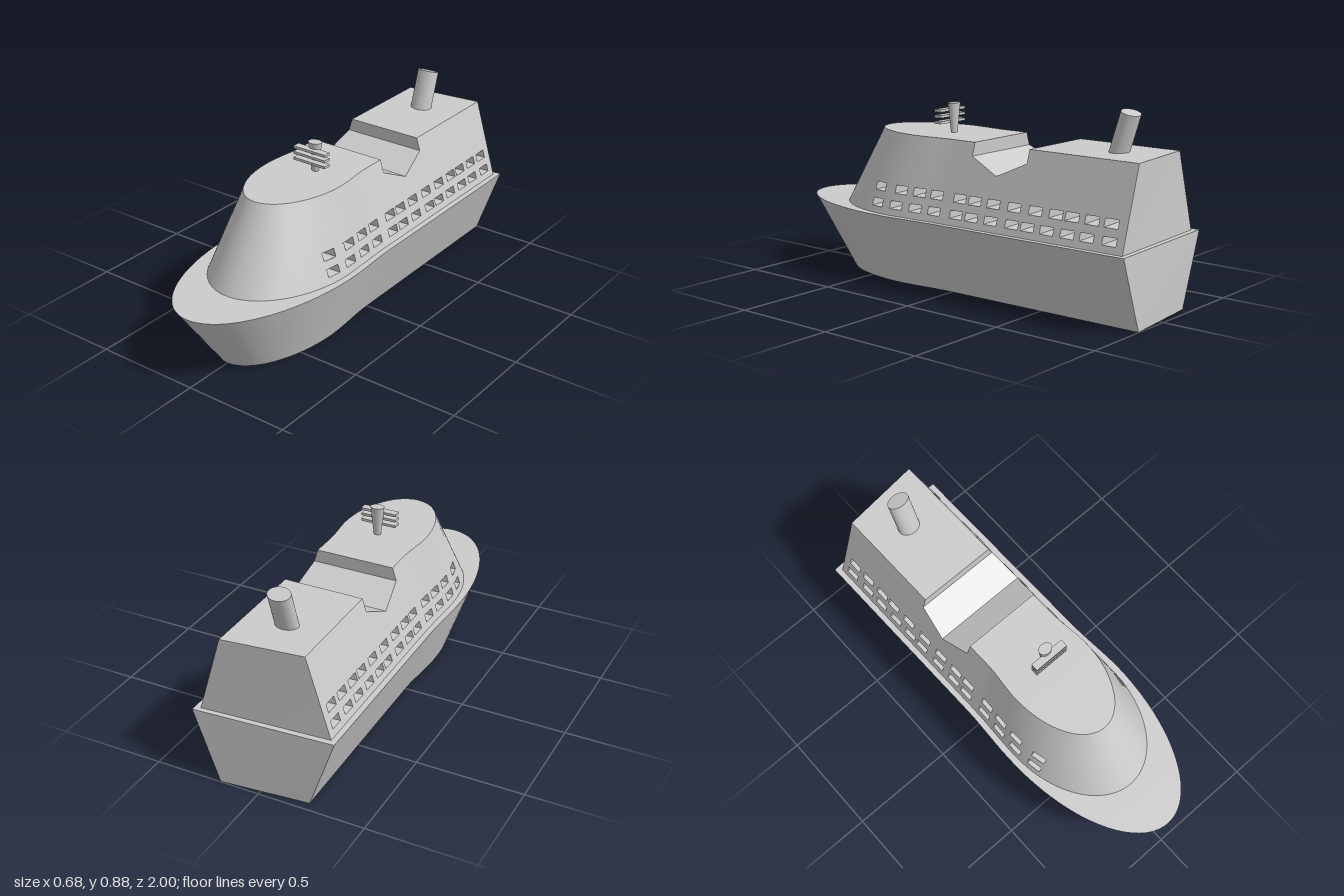
import * as THREE from 'three';
import { toCreasedNormals } from 'three/addons/utils/BufferGeometryUtils.js';

const lerp = THREE.MathUtils.lerp;
const grey = new THREE.MeshStandardMaterial({ color: 0xcccccc });

// Collects quads (corners counter-clockwise from outside) into one geometry
function quadBuilder() {
  const pos = [];
  return {
    quad(a, b, c, d, flip = false) {
      const tris = flip ? [a, c, b, a, d, c] : [a, b, c, a, c, d];
      for (const p of tris) pos.push(...p);
    },
    build() {
      const g = new THREE.BufferGeometry();
      g.setAttribute('position', new THREE.Float32BufferAttribute(pos, 3));
      return toCreasedNormals(g, 0.5);
    },
  };
}

function addMesh(parent, name, geometry) {
  const m = new THREE.Mesh(geometry, grey);
  m.name = name;
  parent.add(m);
  return m;
}

// Tapered body with straight sides and an elliptical bow.
// lo / hi: half width aft (w), at the shoulder (wb), shoulder z (zc), bow tip z (tip)
function taperedBody(y0, lo, y1, hi) {
  const section = (y) => {
    const t = (y - y0) / (y1 - y0), s = {};
    for (const k of Object.keys(lo)) s[k] = lerp(lo[k], hi[k], t);
    return s;
  };
  const drift = (z) => 0.015 * (Math.min(z, 0.3) - 0.3); // the aft axis leans slightly to one side
  const side = (s, z, y) => {
    const { w, wb, zc, tip } = section(y);
    const half = z < zc
      ? lerp(w, wb, THREE.MathUtils.smoothstep(z, 0, zc))
      : wb * Math.sqrt(Math.max(0, 1 - ((z - zc) / (tip - zc)) ** 2));
    return [s * half + drift(z), y, z];
  };
  // k runs 0..1 from station zStart to the tip of the bow
  const bow = (s, k, y, zStart) => {
    const { wb, zc, tip } = section(y);
    const a0 = Math.asin((zStart - zc) / (tip - zc));
    const a = lerp(a0, Math.PI / 2, k);
    const z = zc + (tip - zc) * Math.sin(a);
    return [s * wb * Math.cos(a) + drift(z), y, z];
  };
  return { side, bow };
}

const sternSkew = 0.02;
const range = (a, b, n) => Array.from({ length: n + 1 }, (_, i) => lerp(a, b, i / n));
const BOW = range(0, 1, 20);

// Horizontal strip between two pairs of left / right points, back to front
function strip(q, back, front, down = false) {
  q.quad(front[0], front[1], back[1], back[0], down);
}

function hullGeometry() {
  const q = quadBuilder(), top = 0.335, start = 0.3;
  const body = taperedBody(
    0, { w: 0.205, wb: 0.224, zc: 0.3, tip: 0.76 },
    top, { w: 0.325, wb: 0.338, zc: 0.3, tip: 1.0 });
  const stations = [];
  const pair = (f) => stations.push([0, top].map((y) => [-1, 1].map((s) => f(s, y))));
  pair((s, y) => body.side(s, -0.978 - s * sternSkew, y));
  for (const z of range(0, start, 6)) pair((s, y) => body.side(s, z, y));
  for (const k of BOW.slice(1)) pair((s, y) => body.bow(s, k, y, start));
  for (let i = 0; i + 1 < stations.length; i++) {
    const [bLo, bHi] = stations[i], [fLo, fHi] = stations[i + 1];
    for (const j of [0, 1]) q.quad(fLo[j], bLo[j], bHi[j], fHi[j], j === 0);
    strip(q, bHi, fHi);
    strip(q, bLo, fLo, true);
  }
  const [lo, hi] = stations[0]; // transom
  q.quad(lo[1], lo[0], hi[0], hi[1]);
  return q.build();
}

// Window rows: height range and centres along the right-hand wall
const windowRows = [
  { y0: 0.365, y1: 0.4, z: [0.375, 0.257, 0.145, 0.037, -0.09, -0.177, -0.284, -0.4, -0.483, -0.585, -0.69, -0.788, -0.9] },
  { y0: 0.435, y1: 0.472, z: [0.375, 0.24, 0.135, 0.037, -0.096, -0.18, -0.284, -0.397, -0.51, -0.617, -0.7, -0.8, -0.895] },
];
const windowHalf = 0.034;
const windowShift = 0.036; // the openings run through the ship at a slight angle

function superstructureGeometry() {
  const q = quadBuilder(), start = 0.46, top = 0.7;
  const body = taperedBody(
    0.335, { w: 0.298, wb: 0.308, zc: 0.3, tip: 0.755 },
    top, { w: 0.187, wb: 0.203, zc: 0.2, tip: 0.55 });
  const sternZ = (s) => -0.953 - s * sternSkew;
  const curve = range(0, start, 12);

  // Side wall between two heights, leaving out the openings
  const band = (s, y0, y1, holes = []) => {
    const zs = [sternZ(s), ...curve, ...holes.flat()].sort((a, b) => a - b);
    for (let i = 0; i + 1 < zs.length; i++) {
      const a = zs[i], b = zs[i + 1], m = (a + b) / 2;
      if (b - a < 1e-5 || holes.some((h) => m > h[0] && m < h[1])) continue;
      q.quad(body.side(s, b, y0), body.side(s, a, y0), body.side(s, a, y1), body.side(s, b, y1), s < 0);
    }
  };
  const levels = [0.335, 0.365, 0.4, 0.435, 0.472, 0.55, top];
  for (const s of [-1, 1]) {
    for (let i = 0; i < 5; i++) {
      const row = windowRows.find((r) => r.y0 === levels[i]);
      const shift = s < 0 ? windowShift : 0;
      band(s, levels[i], levels[i + 1],
        row ? row.z.map((z) => [z + shift - windowHalf, z + shift + windowHalf]) : []);
    }
    // Rounded front
    for (let i = 0; i < 6; i++) for (let k = 0; k < 20; k++) {
      const p = (dk, y) => body.bow(s, BOW[k + dk], y, start);
      q.quad(p(1, levels[i]), p(0, levels[i]), p(0, levels[i + 1]), p(1, levels[i + 1]), s < 0);
    }
  }
  // Window tunnels from side to side
  for (const { y0, y1, z } of windowRows) for (const c of z) {
    const ring = (s) => [[-1, y0], [1, y0], [1, y1], [-1, y1]]
      .map(([d, y]) => body.side(s, c + d * windowHalf + (s < 0 ? windowShift : 0), y));
    const r = ring(1), l = ring(-1);
    for (let i = 0; i < 4; i++) {
      const j = (i + 1) % 4;
      q.quad(r[i], r[j], l[j], l[i], true);
    }
  }
  // Upper walls and roof, with the V-shaped well across the ship
  const profile = [[null, top], [-0.42, top], [-0.42, 0.64], [-0.27, 0.57], [-0.12, 0.64], [-0.12, top],
    ...curve.map((z) => [z, top])];
  const at = (i, y = profile[i][1]) => [-1, 1].map((s) => body.side(s, profile[i][0] ?? sternZ(s), y));
  for (let i = 0; i + 1 < profile.length; i++) {
    const bHi = at(i), fHi = at(i + 1), bLo = at(i, 0.55), fLo = at(i + 1, 0.55);
    strip(q, bHi, fHi);
    if (profile[i][0] === profile[i + 1][0]) continue;
    for (const j of [0, 1]) q.quad(fLo[j], bLo[j], bHi[j], fHi[j], j === 0);
  }
  for (let k = 0; k < 20; k++) {
    const p = (kk) => [-1, 1].map((s) => body.bow(s, BOW[kk], top, start));
    strip(q, p(k), p(k + 1));
  }
  // Flat stern
  const lo = at(0, 0.335), hi = at(0, top);
  q.quad(lo[1], lo[0], hi[0], hi[1]);
  return q.build();
}

export function createModel() {
  const ship = new THREE.Group();
  ship.name = 'cruiseShip';
  addMesh(ship, 'hull', hullGeometry());
  addMesh(ship, 'superstructure', superstructureGeometry());

  // Raked oval funnel
  const funnel = addMesh(ship, 'funnel', new THREE.CylinderGeometry(0.053, 0.053, 0.24, 32));
  funnel.scale.z = 0.76;
  funnel.rotation.x = -0.313;
  funnel.position.set(-0.02, 0.758, -0.768);

  // Flared mast with three cross bars
  const mast = new THREE.Group();
  mast.name = 'radarMast';
  mast.position.set(0.013, 0, 0.145);
  ship.add(mast);
  const post = addMesh(mast, 'mastPost', new THREE.CylinderGeometry(0.033, 0.016, 0.147, 24));
  post.scale.z = 0.78;
  post.position.y = 0.764;
  for (const y of [0.75, 0.778, 0.805]) {
    addMesh(mast, 'crossBar', new THREE.BoxGeometry(0.173, 0.012, 0.036)).position.set(0, y, 0.026);
  }
  return ship;
}
